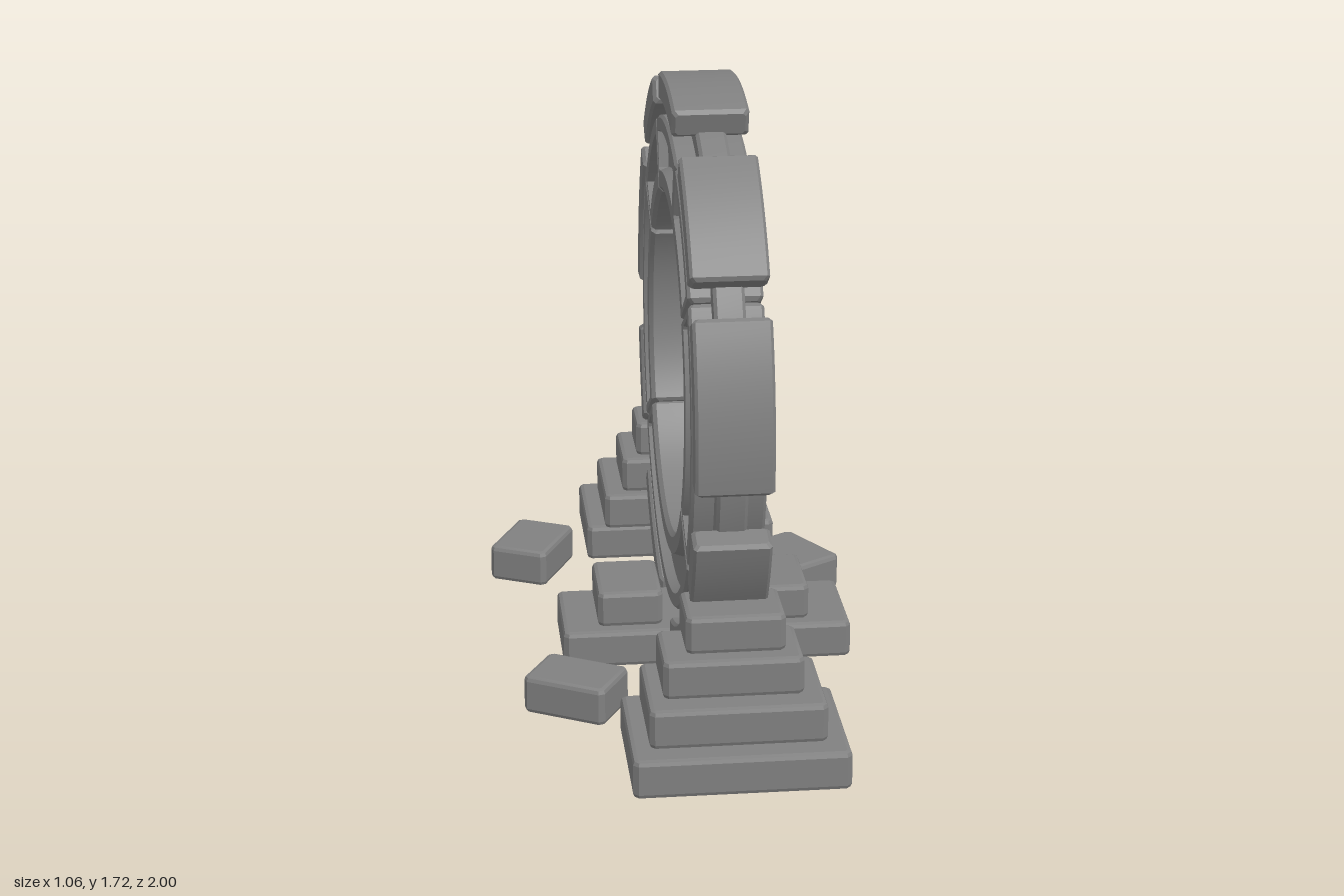
import * as THREE from 'three';
import { toCreasedNormals } from 'three/addons/utils/BufferGeometryUtils.js';

const stone = new THREE.MeshStandardMaterial({ color: 0x808080, side: THREE.DoubleSide });
const DEG = Math.PI / 180;
const CREASE = 0.3;

function addMesh(parent, name, geometry) {
  const mesh = new THREE.Mesh(geometry, stone);
  mesh.name = name;
  parent.add(mesh);
  return mesh;
}

// Chamfered block standing on y = 0, hollow and open underneath
function openBlock(w, h, d) {
  const b = 0.014, c = 0.006, x = w / 2 - b, z = d / 2 - b;
  const shape = new THREE.Shape([
    [x - c, -z], [x, -z + c], [x, z - c], [x - c, z],
    [-x + c, z], [-x, z - c], [-x, -z + c], [-x + c, -z],
  ].map(([px, pz]) => new THREE.Vector2(px, pz)));
  const geo = new THREE.ExtrudeGeometry(shape, {
    depth: h - 2 * b, bevelEnabled: true, bevelSize: b, bevelThickness: b, bevelSegments: 2,
  });
  geo.rotateX(-Math.PI / 2).translate(0, b, 0);
  // drop the underside cap
  const p = geo.attributes.position, kept = [];
  for (let i = 0; i < p.count; i += 3) {
    if ([0, 1, 2].every((k) => p.getY(i + k) < 1e-4)) continue;
    for (let k = 0; k < 3; k++) kept.push(p.getX(i + k), p.getY(i + k), p.getZ(i + k));
  }
  const open = new THREE.BufferGeometry();
  open.setAttribute('position', new THREE.Float32BufferAttribute(kept, 3));
  return toCreasedNormals(open, CREASE);
}

// Block given by its extents
function blockBetween(parent, name, [x0, x1], [y0, y1], [z0, z1]) {
  addMesh(parent, name, openBlock(x1 - x0, y1 - y0, z1 - z0))
    .position.set((x0 + x1) / 2, y0, (z0 + z1) / 2);
}

// Closed (x, radius) sections, each at its own angle, joined into a capped arc
function arcSolid(sections) {
  const n = sections[0].profile.length, pos = [], index = [];
  for (const { angle, profile } of sections) {
    for (const [x, r] of profile) pos.push(x, r * Math.sin(angle), -r * Math.cos(angle));
  }
  for (let k = 0; k < sections.length - 1; k++) {
    for (let i = 0; i < n; i++) {
      const a = k * n + i, b = k * n + (i + 1) % n;
      index.push(a, b, b + n, a, b + n, a + n);
    }
  }
  const caps = THREE.ShapeUtils.triangulateShape(
    sections[0].profile.map(([x, r]) => new THREE.Vector2(x, r)), []);
  const last = (sections.length - 1) * n;
  for (const [a, b, c] of caps) index.push(a, c, b, last + a, last + b, last + c);
  const geo = new THREE.BufferGeometry();
  geo.setAttribute('position', new THREE.Float32BufferAttribute(pos, 3));
  geo.setIndex(index);
  return toCreasedNormals(geo, CREASE);
}

// Sweep a profile between two angles with bevelled ends; the optional
// recessed profile is used away from the ends
function arcBlock(profile, from, to, recessed) {
  const b = 0.01, a0 = from * DEG, a1 = to * DEG;
  const mid = (j) => (Math.min(...profile.map((p) => p[j])) + Math.max(...profile.map((p) => p[j]))) / 2;
  const cx = mid(0), cr = mid(1);
  const inset = profile.map(([x, r]) => [x - Math.sign(x - cx) * b, r - Math.sign(r - cr) * b]);
  const edge = b / cr, margin = recessed ? 0.06 : edge;
  const sections = [{ angle: a0, profile: inset }, { angle: a0 + edge, profile }];
  if (recessed) sections.push({ angle: a0 + margin - 0.015, profile });
  const steps = Math.ceil((to - from) / 3);
  for (let i = 0; i <= steps; i++) {
    const angle = a0 + margin + (a1 - a0 - 2 * margin) * i / steps;
    if (recessed || (i > 0 && i < steps)) sections.push({ angle, profile: recessed || profile });
  }
  if (recessed) sections.push({ angle: a1 - margin + 0.015, profile });
  sections.push({ angle: a1 - edge, profile }, { angle: a1, profile: inset });
  return arcSolid(sections);
}

export function createModel() {
  const model = new THREE.Group();
  model.name = 'stoneRingGate';

  const ring = new THREE.Group();
  ring.name = 'ring';
  ring.position.set(0, 0.886, 0.015);
  model.add(ring);

  // Central rim running round between the two faces
  const rim = [[0.6, 0.025], [0.76, 0.025], [0.769, 0.034], [0.769, 0.101], [0.76, 0.11], [0.6, 0.11]]
    .map(([r, x]) => new THREE.Vector2(r, x));
  addMesh(ring, 'rim', toCreasedNormals(new THREE.LatheGeometry(rim, 96).rotateZ(-Math.PI / 2), CREASE));

  // Inner segments: rounded bore edge on +x, recessed panel on the -x face
  const bore = [];
  for (let i = 0; i <= 8; i++) {
    const t = i / 8 * Math.PI / 2;
    bore.push([0.107 + 0.06 * Math.sin(t), 0.55 - 0.058 * Math.cos(t)]);
  }
  const segment = (floor) => [
    [-0.025, 0.492], ...bore, [0.167, 0.702], [0.159, 0.71],
    [-0.029, 0.71], [-0.037, 0.702], [-0.037, 0.665], [floor, 0.655],
    [floor, 0.56], [-0.037, 0.55], [-0.037, 0.504],
  ];
  const joints = [32.3, 68.4, 111.6, 147.7, 213.5, 326.5, 392.3];
  for (let i = 0; i < 6; i++) {
    addMesh(ring, 'ringSegment', arcBlock(segment(-0.037), joints[i] + 0.15, joints[i + 1] - 0.15, segment(-0.01)));
  }

  // Outer plates
  const b = 0.008, x0 = -0.041, x1 = 0.172, r0 = 0.752, r1 = 0.834;
  const plate = [
    [x0 + b, r0], [x1 - b, r0], [x1, r0 + b], [x1, r1 - b],
    [x1 - b, r1], [x0 + b, r1], [x0, r1 - b], [x0, r0 + b],
  ];
  const plates = [[78.2, 106], [118.7, 145.8], [152.7, 186.2], [197, 212.8], [224.7, 258.8],
    [281, 315.3], [327.5, 348.8], [359.7, 393], [400.2, 426]];
  for (const [from, to] of plates) addMesh(ring, 'outerPlate', arcBlock(plate, from, to));

  // Stepped piers at the two ends: [x extents, z extents] from the bottom up
  const levels = [[0, 0.112], [0.113, 0.226], [0.227, 0.338], [0.339, 0.448]];
  const piers = {
    frontPier: [[[-0.222, 0.369], [0.582, 1]], [[-0.172, 0.311], [0.618, 0.937]],
      [[-0.129, 0.254], [0.652, 0.873]], [[-0.064, 0.208], [0.642, 0.833]]],
    backPier: [[[-0.222, 0.369], [-1, -0.619]], [[-0.167, 0.314], [-0.938, -0.595]],
      [[-0.11, 0.273], [-0.873, -0.617]], [[-0.064, 0.208], [-0.81, -0.638]]],
  };
  for (const [name, steps] of Object.entries(piers)) {
    const pier = new THREE.Group();
    pier.name = name;
    steps.forEach(([x, z], i) => blockBetween(pier, 'pierStep', x, levels[i], z));
    model.add(pier);
  }

  // Plinth under the ring, with a block on each side
  blockBetween(model, 'plinth', [-0.35, 0.493], [0, 0.112], [-0.148, 0.171]);
  blockBetween(model, 'plinthBlock', [-0.247, -0.058], [0.112, 0.22], [-0.11, 0.138]);
  blockBetween(model, 'plinthBlock', [0.178, 0.372], [0.112, 0.22], [-0.11, 0.138]);

  // Loose stones: x, z, turn
  for (const [x, z, turn] of [[-0.4, -0.575, -0.443], [0.394, -0.388, 0.55], [-0.333, 0.42, 1.066]]) {
    const loose = addMesh(model, 'looseStone', openBlock(0.184, 0.112, 0.25));
    loose.position.set(x, 0, z);
    loose.rotation.y = turn;
  }
  return model;
}
